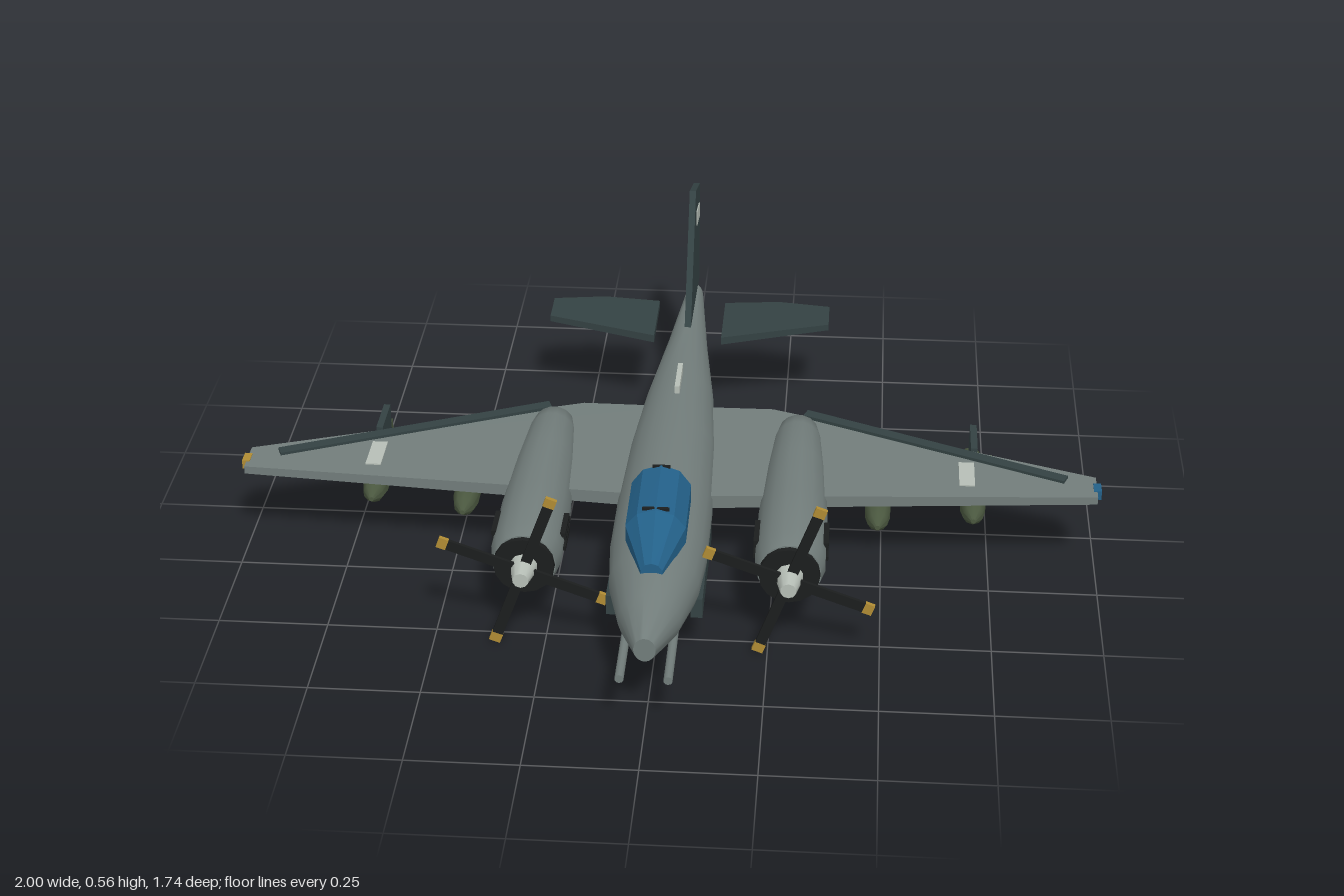
import * as THREE from 'three';
import { toCreasedNormals } from 'three/addons/utils/BufferGeometryUtils.js';

const mat = (name, color) => new THREE.MeshStandardMaterial({ name, color });

// Closed body from elliptical rings [z, bottom, top, halfWidth], z ascending
function loft(rings, sides, x = 0, crease = 0.7) {
  const pos = [], idx = [], n = rings.length;
  for (const [z, b, t, hw] of rings) {
    for (let j = 0; j < sides; j++) {
      const a = ((j + 0.5) / sides) * Math.PI * 2;
      pos.push(x + Math.cos(a) * hw, (b + t) / 2 + Math.sin(a) * (t - b) / 2, z);
    }
  }
  for (const r of [rings[0], rings[n - 1]]) pos.push(x, (r[1] + r[2]) / 2, r[0]);
  for (let j = 0; j < sides; j++) {
    const k = (j + 1) % sides, last = (n - 1) * sides;
    for (let i = 0; i < n - 1; i++) {
      const a = i * sides + j, b = i * sides + k;
      idx.push(a, b, b + sides, a, b + sides, a + sides);
    }
    idx.push(n * sides, k, j, n * sides + 1, last + j, last + k);
  }
  const g = new THREE.BufferGeometry();
  g.setAttribute('position', new THREE.Float32BufferAttribute(pos, 3));
  g.setIndex(idx);
  return toCreasedNormals(g, crease);
}

// Convex plate from outline points [x, z, bottom, top], mirrored by s
function plate(points, s = 1) {
  let p = points.map(([x, z, b, t]) => [x * s, z, b, t]);
  const area = p.reduce((sum, q, i) => {
    const r = p[(i + 1) % p.length];
    return sum + q[0] * r[1] - r[0] * q[1];
  }, 0);
  if (area > 0) p.reverse();
  const pos = [], n = p.length;
  const top = q => [q[0], q[3], q[1]], bot = q => [q[0], q[2], q[1]];
  for (let i = 0; i < n; i++) {
    const q = p[i], r = p[(i + 1) % n];
    if (i > 0 && i < n - 1) {
      pos.push(...top(p[0]), ...top(q), ...top(r));
      pos.push(...bot(p[0]), ...bot(r), ...bot(q));
    }
    pos.push(...bot(q), ...bot(r), ...top(r), ...bot(q), ...top(r), ...top(q));
  }
  const g = new THREE.BufferGeometry();
  g.setAttribute('position', new THREE.Float32BufferAttribute(pos, 3));
  g.computeVertexNormals();
  return g;
}

// Upright slab from a [z, y] outline, centred on x
function slab(outline, thickness, x = 0) {
  const shape = new THREE.Shape(outline.map(([z, y]) => new THREE.Vector2(z, y)));
  const g = new THREE.ExtrudeGeometry(shape, { depth: thickness, bevelEnabled: false });
  return g.translate(0, 0, -thickness / 2).rotateY(-Math.PI / 2).translate(x, 0, 0);
}

const box = (w, h, d, x, y, z) => new THREE.BoxGeometry(w, h, d).translate(x, y, z);
// Cylinder along z: front radius, back radius, front z, back z
const rod = (rf, rb, zf, zb, x, y, sides = 12) =>
  new THREE.CylinderGeometry(rf, rb, zf - zb, sides).rotateX(Math.PI / 2).translate(x, y, (zf + zb) / 2);

export function createModel() {
  const model = new THREE.Group();
  model.name = 'twinEngineAircraft';
  const grey = mat('hullGrey', 0x727d7b), slate = mat('darkSlate', 0x344243);
  const blue = mat('canopyBlue', 0x236088), olive = mat('olive', 0x4a573f);
  const black = mat('black', 0x1b1d1d), gold = mat('gold', 0xb08c34);
  const light = mat('paleGrey', 0xb6beb6);
  const add = (name, geometry, material, parent = model) => {
    const m = new THREE.Mesh(geometry, material);
    m.name = name;
    parent.add(m);
    return m;
  };

  // Fuselage, canopy and dorsal aerial
  add('fuselage', loft([
    [-0.8, 0.18, 0.245, 0.022], [-0.5, 0.15, 0.262, 0.052], [-0.25, 0.122, 0.275, 0.082],
    [0, 0.1, 0.285, 0.102], [0.25, 0.09, 0.29, 0.11], [0.45, 0.088, 0.287, 0.11],
    [0.58, 0.092, 0.28, 0.1], [0.72, 0.12, 0.255, 0.068], [0.84, 0.165, 0.222, 0.024],
  ], 20), grey);
  add('canopy', loft([
    [0.26, 0.25, 0.3, 0.025], [0.36, 0.23, 0.368, 0.07],
    [0.53, 0.23, 0.353, 0.07], [0.65, 0.24, 0.29, 0.025],
  ], 10, 0, 0.1), blue);
  add('canopyFrameRear', box(0.04, 0.006, 0.008, 0, 0.364, 0.36), black);
  add('canopyFrameFront', box(0.06, 0.006, 0.008, 0, 0.35, 0.52), black);
  add('dorsalAerial', box(0.012, 0.03, 0.12, 0, 0.282, -0.2), light);

  // Tail fin with a pale marking on each side
  add('tailFin', slab([[-0.505, 0.23], [-0.87, 0.235], [-0.865, 0.505], [-0.705, 0.555]], 0.016), slate);
  for (const s of [-1, 1]) {
    add('finMarking', slab([[-0.72, 0.49], [-0.725, 0.45], [-0.83, 0.428], [-0.825, 0.468]], 0.003, s * 0.009), light);
  }

  // Propeller with four gold-tipped blades
  const propeller = x => {
    const prop = new THREE.Group();
    prop.name = 'propeller';
    prop.position.set(x, 0.19, 0.54);
    for (let i = 0; i < 4; i++) {
      const blade = new THREE.Group();
      blade.name = 'blade';
      blade.rotation.z = (70 + i * 90) * Math.PI / 180;
      add('bladeShaft', box(0.16, 0.024, 0.008, 0.097, 0, 0), black, blade);
      add('bladeTip', box(0.022, 0.026, 0.01, 0.188, 0, 0), gold, blade);
      prop.add(blade);
    }
    add('spinner', rod(0.018, 0.032, 0.043, -0.02, 0, 0, 10), light, prop);
    model.add(prop);
  };

  // Bomb with nose, crossed fins and pylon
  const bomb = (x, tail) => {
    const g = new THREE.Group();
    g.name = 'bomb';
    g.position.set(x, 0.086, tail);
    add('bombBody', loft([
      [0, -0.024, 0.024, 0.024], [0.07, -0.031, 0.031, 0.031], [0.25, -0.031, 0.031, 0.031],
      [0.285, -0.024, 0.024, 0.024], [0.312, -0.006, 0.006, 0.006],
    ], 10), olive, g);
    add('bombFinFlat', box(0.104, 0.008, 0.06, 0, 0, 0.03), olive, g);
    add('bombFinUpright', box(0.008, 0.095, 0.06, 0, 0, 0.03), olive, g);
    add('bombPylon', box(0.016, 0.085, 0.115, 0, 0.068, 0.1), slate, g);
    model.add(g);
  };

  for (const s of [-1, 1]) {
    // Wing with trailing strip, marking and tip light
    add('wing', plate([
      [0, 0.235, 0.183, 0.215], [0.1, 0.232, 0.184, 0.216], [0.99, 0.19, 0.206, 0.225],
      [0.99, 0.1, 0.206, 0.225], [0.23, -0.19, 0.186, 0.216], [0, -0.19, 0.183, 0.215],
    ], s), grey);
    add('wingFlap', plate([
      [0.305, -0.15, 0.183, 0.225], [0.315, -0.177, 0.183, 0.225],
      [0.925, 0.106, 0.2, 0.231], [0.915, 0.132, 0.2, 0.231],
    ], s), slate);
    add('wingMarking', box(0.036, 0.008, 0.105, s * 0.692, 0.221, 0.103), light);
    add('wingTipLight', box(0.018, 0.022, 0.036, s * 0.991, 0.216, 0.148), s > 0 ? blue : gold);

    // Tailplane
    add('tailplane', plate([
      [0.085, -0.515, 0.218, 0.238], [0.355, -0.575, 0.238, 0.254], [0.355, -0.675, 0.238, 0.254],
      [0.225, -0.71, 0.228, 0.246], [0.085, -0.71, 0.218, 0.238],
    ], s), slate);

    // Engine nacelle, dark intake and exhausts on both flanks
    const ex = s * 0.295;
    add('nacelle', loft([
      [-0.135, 0.17, 0.225, 0.03], [-0.115, 0.15, 0.245, 0.048], [-0.06, 0.13, 0.258, 0.058],
      [0.08, 0.112, 0.267, 0.07], [0.28, 0.105, 0.273, 0.08], [0.47, 0.108, 0.272, 0.08],
      [0.51, 0.118, 0.262, 0.071],
    ], 16, ex), grey);
    add('engineIntake', rod(0.068, 0.07, 0.522, 0.495, ex, 0.19, 16), black);
    for (const side of [-1, 1]) {
      for (const [y, z] of [[0.217, 0.385], [0.2, 0.37], [0.182, 0.385]]) {
        add('exhaust', box(0.016, 0.01, 0.09, ex + side * 0.076, y, z), black);
      }
    }
    propeller(ex);

    // Nose guns and side fairings
    add('noseGun', rod(0.01, 0.01, 0.87, 0.62, s * 0.052, 0.138, 10), grey);
    add('sideFairing', box(0.026, 0.048, 0.34, s * 0.094, 0.134, 0.41), slate);

    // Underwing bombs
    bomb(s * 0.49, -0.18);
    bomb(s * 0.715, -0.225);
  }
  return model;
}
